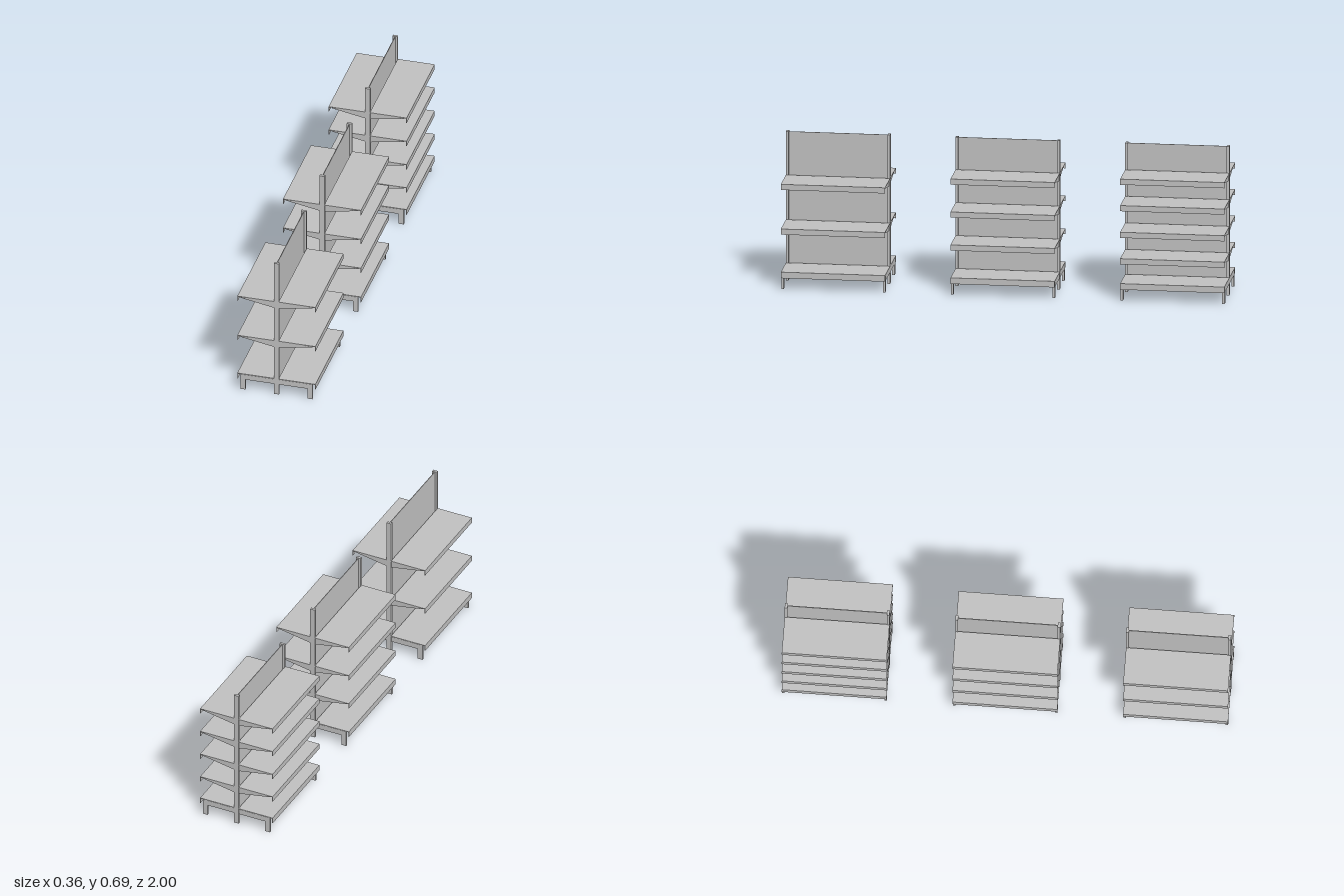
import * as THREE from 'three';

const steel = new THREE.MeshStandardMaterial({ color: 0xc0c0c0 });
steel.name = 'grey steel';

const L = 0.47;          // length of one unit along z
const POST_D = 0.012;    // post, leg and beam thickness along z
const HALF_W = 0.181;    // centre line to shelf front

function box(parent, name, w, h, d, x, y, z) {
  const m = new THREE.Mesh(new THREE.BoxGeometry(w, h, d), steel);
  m.name = name;
  m.position.set(x, y, z);
  parent.add(m);
  return m;
}

// Flat plate cut from an outline in x/y, centred on z
function plate(parent, name, points, depth, y, z) {
  const shape = new THREE.Shape(points.map(([px, py]) => new THREE.Vector2(px, py)));
  const geo = new THREE.ExtrudeGeometry(shape, { depth, bevelEnabled: false });
  geo.translate(0, 0, -depth / 2);
  const m = new THREE.Mesh(geo, steel);
  m.name = name;
  m.position.set(0, y, z);
  parent.add(m);
  return m;
}

// Thin deck with a folded front lip; side is +1 or -1
function deck(parent, name, side, top, lip) {
  const inner = 0.01;
  box(parent, name, HALF_W - inner, 0.003, L, side * (HALF_W + inner) / 2, top - 0.0015, 0);
  box(parent, name + 'Lip', 0.002, lip, L, side * (HALF_W - 0.001), top - lip / 2, 0);
}

function shelf(side, top) {
  const g = new THREE.Group();
  g.name = 'shelf';
  deck(g, 'shelfDeck', side, top, 0.026);
  // Tapered brackets at both posts
  for (const end of [-1, 1]) {
    plate(g, 'shelfBracket', [
      [side * 0.008, -0.003], [side * 0.167, -0.007], [side * 0.167, -0.009], [side * 0.008, -0.037],
    ], 0.003, top, end * (L / 2 - POST_D / 2));
  }
  return g;
}

function shelvingUnit(levels) {
  const g = new THREE.Group();
  g.name = 'shelvingUnit';
  // Central back panel
  box(g, 'backPanel', 0.003, 0.63, L - POST_D, 0, 0.37, 0);
  for (const end of [-1, 1]) {
    const z = end * (L / 2 - POST_D / 2);
    box(g, 'post', 0.024, 0.687, POST_D, 0, 0.3435, z);
    // Base cross beam with its two feet
    plate(g, 'baseFrame', [
      [-0.167, 0], [-0.144, 0], [-0.144, 0.052], [0.144, 0.052],
      [0.144, 0], [0.167, 0], [0.167, 0.077], [-0.167, 0.077],
    ], POST_D - 0.001, 0, z);
  }
  for (const side of [-1, 1]) {
    deck(g, 'baseDeck', side, 0.081, 0.028);
    for (const top of levels) g.add(shelf(side, top));
  }
  return g;
}

export function createModel() {
  const model = new THREE.Group();
  model.name = 'shelvingRow';
  const units = [
    [0.765, [0.28, 0.486]],
    [0, [0.233, 0.385, 0.537]],
    [-0.765, [0.196, 0.318, 0.441, 0.563]],
  ];
  for (const [z, levels] of units) {
    const unit = shelvingUnit(levels);
    unit.position.z = z;
    model.add(unit);
  }
  return model;
}
